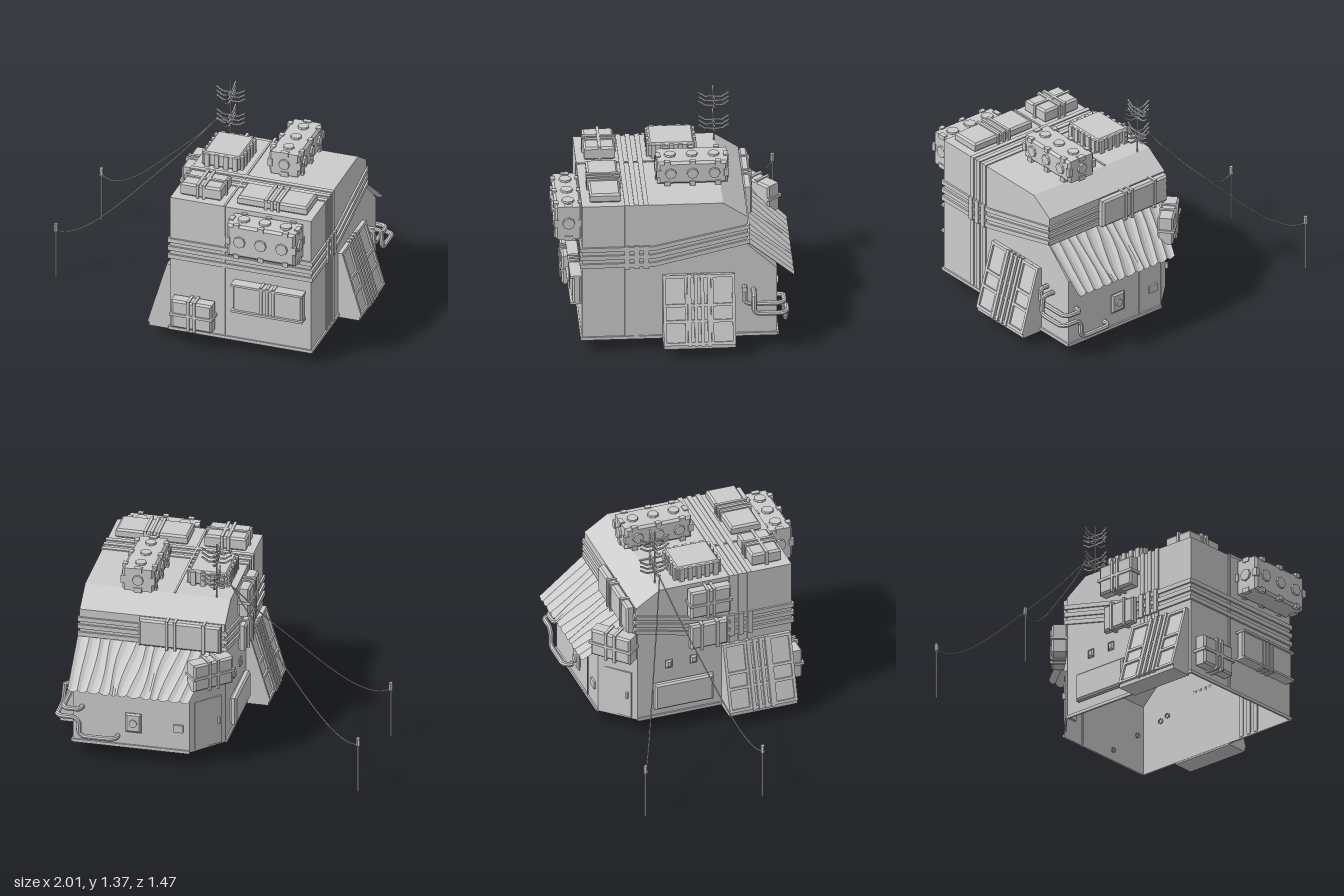
import * as THREE from 'three';

const mat = new THREE.MeshStandardMaterial({ color: 0xcccccc, flatShading: true, side: THREE.DoubleSide });
const HALF = Math.PI / 2;
const LEFT = -0.06, RIGHT = 0.85, FRONT = 0.56, BACK = -0.63;

function add(parent, name, geo, x = 0, y = 0, z = 0) {
  const m = new THREE.Mesh(geo, mat);
  m.name = name;
  m.position.set(x, y, z);
  parent.add(m);
  return m;
}
const box = (p, name, w, h, d, x, y, z) => add(p, name, new THREE.BoxGeometry(w, h, d), x, y, z);
function group(parent, name, pos, rot = [0, 0, 0]) {
  const g = new THREE.Group();
  g.name = name;
  g.position.set(...pos);
  g.rotation.set(...rot);
  parent.add(g);
  return g;
}
const polygon = pts => new THREE.Shape(pts.map(p => new THREE.Vector2(...p)));

// Box with chamfered edges, centred in x and y, standing on z = 0
function chamferBox(w, h, d, b = 0.012) {
  const x = w / 2 - b, y = h / 2 - b;
  const geo = new THREE.ExtrudeGeometry(polygon([[-x, -y], [x, -y], [x, y], [-x, y]]),
    { depth: d - 2 * b, bevelThickness: b, bevelSize: b, bevelSegments: 1 });
  return geo.translate(0, 0, b);
}

// Wall box facing local +z, wrapped by straps at the listed offsets
function strappedBox(parent, name, w, h, d, vert, horiz, pos, rot) {
  const g = group(parent, name, pos, rot);
  add(g, name + 'Body', chamferBox(w, h, d));
  for (const x of vert) box(g, 'strap', 0.018, h + 0.016, d + 0.008, x, 0, d / 2 + 0.004);
  for (const y of horiz) box(g, 'strap', w + 0.016, 0.018, d + 0.008, 0, y, d / 2 + 0.004);
  return g;
}

// Long ventilation box: length along x, three fans on the long faces, one on each end
function fanUnit(parent, name, L, h, d, pos, rotY = 0) {
  const g = group(parent, name, pos, [0, rotY, 0]);
  add(g, name + 'Body', chamferBox(L, h, d, 0.015), 0, 0, -d / 2);
  const r = Math.min(h, d) * 0.25;
  const fan = (x, y, z, rx, rz) => {
    const f = add(g, 'fan', new THREE.CylinderGeometry(r * 0.9, r, 0.024, 8), x, y, z);
    f.rotation.set(rx, 0, rz);
  };
  for (const i of [-1, 0, 1]) {
    fan(i * L * 0.31, 0, d / 2, HALF, 0);
    fan(i * L * 0.31, 0, -d / 2, -HALF, 0);
    fan(i * L * 0.31, h / 2, 0, 0, 0);
  }
  for (const s of [-1, 1]) {
    fan(s * L / 2, 0, 0, 0, -s * HALF);
    // Clips along the edges
    for (const t of [-1, 1]) {
      for (const x of [-0.36, 0, 0.36]) box(g, 'clip', 0.035, 0.03, 0.03, x * L, s * (h / 2 - 0.008), t * (d / 2 - 0.008));
      box(g, 'clip', 0.03, 0.03, 0.05, s * (L / 2 - 0.008), t * (h / 2 - 0.008), 0);
      box(g, 'clip', 0.03, 0.05, 0.03, s * (L / 2 - 0.008), 0, t * (d / 2 - 0.008));
    }
  }
}

// House shell lofted through horizontal rings, open below
function shellGeometry() {
  const ring = (y, zb, xc, zc) => [[LEFT, y, FRONT], [RIGHT, y, FRONT], [RIGHT, y, zb], [xc, y, zb], [LEFT, y, zc]];
  const rings = [ring(0.09, BACK, 0.12, -0.44), ring(0.54, BACK, 0.12, -0.44), ring(0.71, -0.45, -0.055, -0.44),
    ring(0.9, -0.45, -0.055, -0.445), ring(1, -0.3, -0.055, -0.295)];
  const v = [];
  for (let k = 0; k < rings.length - 1; k++) for (let i = 0; i < 5; i++) {
    const j = (i + 1) % 5, a = rings[k], b = rings[k + 1];
    v.push(...a[i], ...a[j], ...b[j], ...a[i], ...b[j], ...b[i]);
  }
  const top = rings[4];
  for (let i = 1; i < 4; i++) v.push(...top[0], ...top[i], ...top[i + 1]);
  const geo = new THREE.BufferGeometry();
  geo.setAttribute('position', new THREE.Float32BufferAttribute(v, 3));
  geo.computeVertexNormals();
  return geo;
}

// Leaning buttress with a framed, ribbed face; leans towards local +x
function sidePanel(parent, name, pos, rotY) {
  const g = group(parent, name, pos, [0, rotY, 0]);
  const wedge = polygon([[0, 0.075], [0.14, 0.075], [0.14, 0.1], [0.015, 0.52], [0, 0.52]]);
  add(g, 'buttress', new THREE.ExtrudeGeometry(wedge, { depth: 0.44, bevelEnabled: false }), 0, 0, -0.22);
  const face = group(g, 'panelFace', [0.0775, 0.31, 0], [0, 0, 0.289]);
  for (const y of [-0.21, -0.07, 0.03, 0.21]) box(face, 'crossFrame', 0.024, 0.018, 0.44, 0, y, 0);
  for (const s of [-1, 1]) {
    box(face, 'edgeFrame', 0.024, 0.44, 0.018, 0, 0, s * 0.211);
    box(face, 'innerFrame', 0.024, 0.44, 0.015, 0, 0, s * 0.08);
  }
  for (const z of [-0.06, -0.02, 0.02, 0.06]) box(face, 'rib', 0.04, 0.45, 0.022, 0, 0, z);
}

function tube(parent, name, pts, r, tension = 0.12) {
  const path = new THREE.CatmullRomCurve3(pts.map(p => new THREE.Vector3(...p)), false, 'catmullrom', tension);
  return add(parent, name, new THREE.TubeGeometry(path, 48, r, 8));
}

export function createModel() {
  const m = new THREE.Group();
  m.name = 'house';
  add(m, 'shell', shellGeometry());

  // Base trim
  const midX = (LEFT + RIGHT) / 2, W = RIGHT - LEFT;
  box(m, 'baseTrim', W + 0.02, 0.02, 0.012, midX, 0.095, FRONT + 0.004);
  box(m, 'baseTrim', 0.73, 0.02, 0.012, 0.485, 0.095, BACK - 0.004);
  box(m, 'baseTrim', 0.012, 0.02, 1.2, RIGHT + 0.004, 0.095, -0.035);
  box(m, 'baseTrim', 0.012, 0.02, 1.0, LEFT - 0.004, 0.095, 0.06);

  // Three bands, level at the front and climbing towards the back
  for (const [y0, y1] of [[0.705, 0.835], [0.65, 0.785], [0.595, 0.735]]) {
    const t = 0.014;
    const strip = polygon([[0.57, y0 - t], [0.57, y0 + t], [0.12, y0 + t], [-0.455, y1 + t], [-0.455, y1 - t], [0.12, y0 - t]]);
    for (const x of [LEFT - 0.012, RIGHT - 0.008]) {
      const geo = new THREE.ExtrudeGeometry(strip, { depth: 0.02, bevelEnabled: false });
      add(m, 'sideBand', geo.rotateY(-HALF), x + 0.02, 0, 0);
    }
    box(m, 'frontBand', W + 0.02, 2 * t, 0.02, midX, y0, FRONT + 0.002);
    box(m, 'backBand', W + 0.02, 2 * t, 0.02, midX, y1, -0.452);
  }
  // Straps over the walls and roof
  for (const z of [0.285, 0.228, 0.17]) {
    for (const x of [LEFT, RIGHT]) {
      box(m, 'wallStrap', 0.014, 0.91, 0.03, x, 0.55, z);
      box(m, 'strapBuckle', 0.04, 0.155, 0.032, x, 0.65, z);
    }
    box(m, 'roofStrap', W + 0.014, 0.014, 0.03, midX, 1, z);
  }
  // Seam around the middle
  box(m, 'frontSeam', 0.012, 0.91, 0.012, 0.29, 0.55, FRONT);
  box(m, 'roofSeam', 0.012, 0.012, 0.86, 0.29, 1, 0.13);
  box(m, 'backSeam', 0.012, 0.45, 0.012, 0.29, 0.32, BACK);

  sidePanel(m, 'rightButtress', [RIGHT, 0, -0.15], 0);
  sidePanel(m, 'leftButtress', [LEFT, 0, 0.325], Math.PI);

  // Ventilation units
  fanUnit(m, 'frontVent', 0.44, 0.22, 0.165, [0.58, 0.865, 0.638]);
  fanUnit(m, 'roofVent', 0.43, 0.15, 0.2, [0.51, 1.085, -0.13], HALF);

  // Boxes on front, roof, sides and back
  const three = [-0.04, 0, 0.04], up = [-HALF, 0, 0], toLeft = [0, -HALF, 0];
  const win = strappedBox(m, 'frontWindow', 0.45, 0.19, 0.055, three, [], [0.585, 0.41, FRONT]);
  box(win, 'sill', 0.46, 0.014, 0.07, 0, -0.09, 0.035);
  box(win, 'lintel', 0.46, 0.014, 0.07, 0, 0.09, 0.035);
  strappedBox(m, 'frontLocker', 0.26, 0.19, 0.085, [-0.02, 0.02], [0], [0.105, 0.24, FRONT]);
  strappedBox(m, 'roofLocker', 0.26, 0.19, 0.085, [-0.02, 0.02], [0], [0.12, 1, 0.415], up);
  strappedBox(m, 'roofHatch', 0.45, 0.19, 0.06, three, [], [0.58, 1, 0.415], up);
  strappedBox(m, 'upperLeftLocker', 0.26, 0.19, 0.075, [-0.02, 0.02], [0], [LEFT, 0.885, 0.01], toLeft);
  strappedBox(m, 'middleLeftLocker', 0.24, 0.17, 0.05, [-0.05, 0.05], [], [LEFT, 0.635, 0.01], toLeft);
  strappedBox(m, 'lowerLeftLocker', 0.38, 0.18, 0.045, [], [], [LEFT, 0.25, -0.15], toLeft);
  strappedBox(m, 'backBox', 0.51, 0.18, 0.055, [-0.08, -0.03, 0.15], [], [0.215, 0.81, -0.447], [0, Math.PI, 0]);
  strappedBox(m, 'cornerUnit', 0.27, 0.18, 0.1, [-0.03, 0.03], [0], [0.042, 0.63, -0.53], [0, -2.41, 0]);
  for (const z of [-0.24, -0.08]) strappedBox(m, 'wallSocket', 0.045, 0.055, 0.02, [], [], [LEFT, 0.46, z], toLeft);

  // Ribbed roof crate
  const crate = group(m, 'roofCrate', [0.115, 1, -0.025]);
  add(crate, 'crateBody', chamferBox(0.24, 0.28, 0.095).rotateX(-HALF));
  for (let i = 0; i < 4; i++) box(crate, 'crateRib', 0.03, 0.088, 0.305, -0.09 + i * 0.06, 0.044, 0);
  for (let i = 0; i < 5; i++) box(crate, 'crateRib', 0.265, 0.088, 0.03, 0, 0.044, -0.11 + i * 0.055);

  // Corner door
  const door = group(m, 'door', [0.03, 0.265, -0.535], [0, -2.383, 0]);
  box(door, 'doorLeaf', 0.19, 0.32, 0.014, 0, 0, 0);
  box(door, 'doorHandle', 0.012, 0.04, 0.03, 0.07, 0, 0.01);

  // Meter box and switch on the back wall
  const meter = strappedBox(m, 'meterBox', 0.1, 0.13, 0.02, [], [], [0.47, 0.26, BACK], [0, Math.PI, 0]);
  add(meter, 'meterDial', new THREE.CylinderGeometry(0.025, 0.025, 0.02, 12).rotateX(HALF), 0, 0, 0.02);
  box(m, 'switchBox', 0.06, 0.05, 0.025, 0.19, 0.25, BACK);

  // Pleated awning
  const awning = new THREE.PlaneGeometry(1, 1, 36, 6), p = awning.attributes.position, uv = awning.attributes.uv;
  for (let i = 0; i < p.count; i++) {
    const u = uv.getX(i), v = 1 - uv.getY(i), pleat = Math.round(u * 36) % 3 === 0 ? 0.014 : 0;
    const wave = 0.014 * Math.sin(v * 4 + u * 19) * Math.sin(u * Math.PI);
    p.setXYZ(i, THREE.MathUtils.lerp(0.1 * v, 0.86, u) + wave, 0.715 - 0.235 * v + pleat, -0.452 - 0.285 * v);
  }
  awning.computeVertexNormals();
  add(m, 'awning', awning);

  // Pipes around the back right corner
  tube(m, 'upperPipe', [[0.84, 0.42, -0.43], [0.9, 0.42, -0.43], [0.905, 0.35, -0.43], [0.905, 0.33, -0.46],
    [0.905, 0.33, -0.64], [0.88, 0.33, -0.67], [0.8, 0.33, -0.67], [0.79, 0.33, -0.62]], 0.016);
  tube(m, 'lowerPipe', [[0.84, 0.4, -0.485], [0.93, 0.4, -0.485], [0.94, 0.3, -0.485], [0.94, 0.28, -0.51], [0.94, 0.28, -0.66],
    [0.91, 0.28, -0.685], [0.83, 0.28, -0.685], [0.8, 0.25, -0.685], [0.8, 0.18, -0.685], [0.77, 0.155, -0.685],
    [0.6, 0.155, -0.685], [0.57, 0.155, -0.66], [0.57, 0.155, -0.62]], 0.016);

  // Antenna with two clusters of bent rods
  const antenna = group(m, 'antenna', [0.03, 0, -0.295]);
  add(antenna, 'mast', new THREE.CylinderGeometry(0.005, 0.005, 0.37, 8), 0, 1.18, 0);
  for (const y of [1.08, 1.11, 1.14, 1.24, 1.27, 1.3]) for (const turn of [0, HALF]) {
    const rods = group(antenna, 'rods', [0, y, 0], [0, turn, 0]);
    box(rods, 'rod', 0.1, 0.009, 0.009, 0, 0, 0);
    for (const s of [-1, 1]) box(rods, 'rodTip', 0.053, 0.009, 0.009, s * 0.071, 0.014, 0).rotation.z = s * 0.59;
  }

  // Cable poles and sagging cables
  for (const [x, z] of [[-0.952, -0.715], [-0.982, 0.032]]) {
    add(m, 'pole', new THREE.CylinderGeometry(0.006, 0.006, 0.34, 8), x, 0.17, z);
    add(m, 'insulator', new THREE.CylinderGeometry(0.012, 0.015, 0.05, 8), x, 0.34, z);
    const at = (t, y) => [-0.06 + (x + 0.06) * t, y, -0.297 + (z + 0.297) * t];
    tube(m, 'cable', [at(0, 1.095), at(0.2, 0.88), at(0.45, 0.645), at(0.62, 0.49), at(0.77, 0.375), at(0.9, 0.315), at(1, 0.315)], 0.004, 0.5);
  }
  box(m, 'cableArm', 0.1, 0.008, 0.008, -0.015, 1.095, -0.297);
  return m;
}
